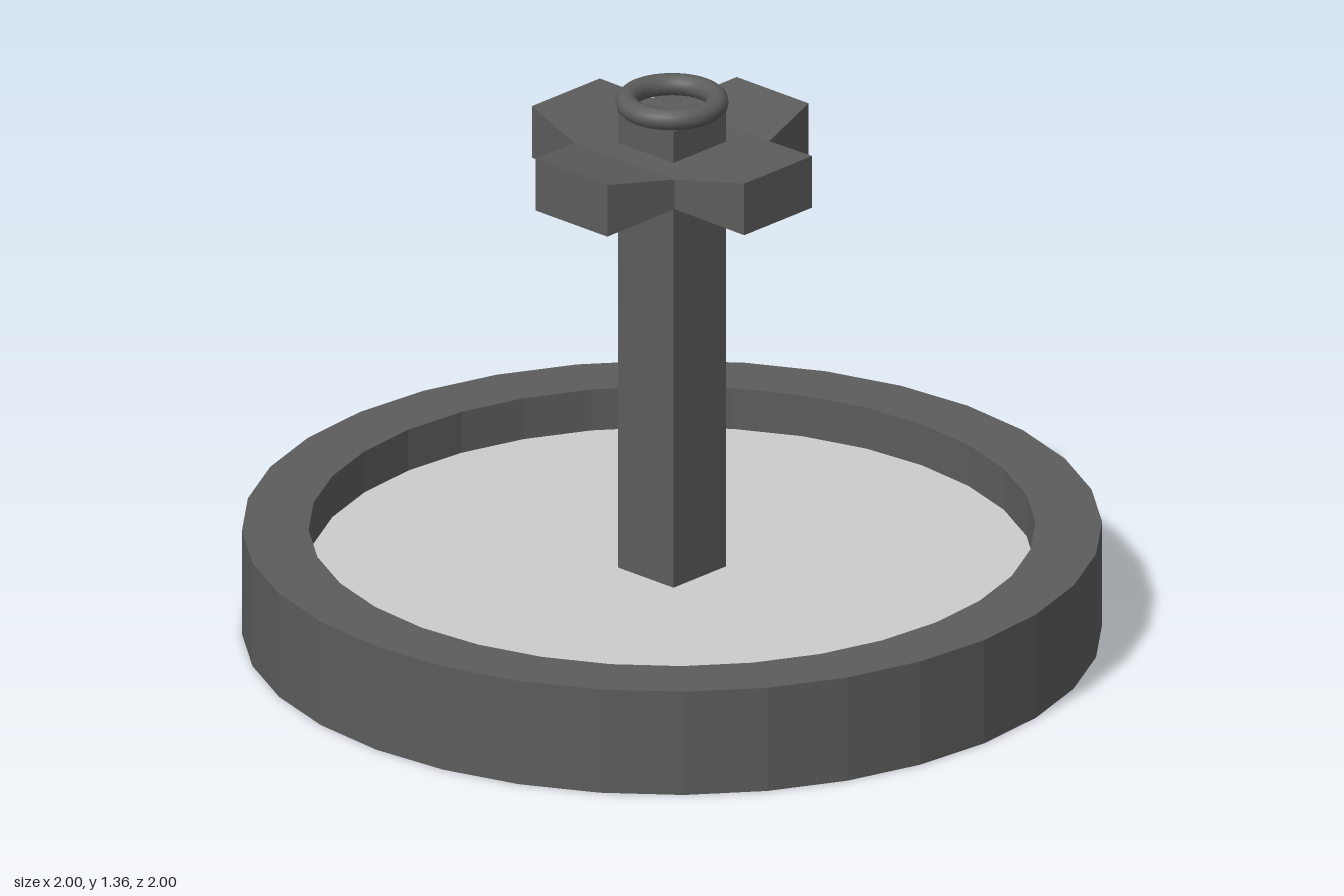
import * as THREE from 'three';

const stone = new THREE.MeshStandardMaterial({ color: 0x5c5c5c, flatShading: true });
const smoothStone = new THREE.MeshStandardMaterial({ color: 0x5c5c5c });
const water = new THREE.MeshStandardMaterial({ color: 0xcccccc });

const SIDES = 32;
const INNER = 0.845;
const WATER_Y = 0.157;

function part(parent, name, geometry, material, y = 0) {
  const mesh = new THREE.Mesh(geometry, material);
  mesh.name = name;
  mesh.position.y = y;
  parent.add(mesh);
  return mesh;
}

// Spout arm along +z: narrow in height and wide at the hub, taller and narrower at the tip
function armGeometry(hub, tip) {
  const geometry = new THREE.BoxGeometry(2, 2, 2);
  const p = geometry.attributes.position;
  for (let i = 0; i < p.count; i++) {
    const end = p.getZ(i) > 0 ? tip : hub;
    p.setXYZ(i, p.getX(i) * end.w, p.getY(i) * end.h, end.z);
  }
  geometry.computeVertexNormals();
  return geometry;
}

export function createModel() {
  const model = new THREE.Group();
  model.name = 'fountain';

  // Round basin: solid underside, outer wall, flat rim, inner wall
  const profile = [[0, 0], [1, 0], [1, 0.26], [INNER, 0.26], [INNER, WATER_Y]]
    .map(([x, y]) => new THREE.Vector2(x, y));
  part(model, 'basin', new THREE.LatheGeometry(profile, SIDES), stone);

  // Water surface inside the rim
  const surface = new THREE.CircleGeometry(INNER, SIDES).rotateX(-Math.PI / 2);
  part(model, 'water', surface, water, WATER_Y);

  // Square column rising out of the water
  const bottom = 0.15, top = 1.305;
  part(model, 'column', new THREE.BoxGeometry(0.177, top - bottom, 0.177), stone, (top + bottom) / 2);

  // Cross-shaped spout head
  const head = new THREE.Group();
  head.name = 'spoutHead';
  head.position.y = 1.19;
  model.add(head);
  const hub = { w: 0.16, h: 0.037, z: 0.16 };
  const tip = { w: 0.115, h: 0.065, z: 0.34 };
  part(head, 'spoutHub', new THREE.BoxGeometry(2 * hub.w, 2 * hub.h, 2 * hub.z), stone);
  const arm = armGeometry(hub, tip);
  for (let i = 0; i < 4; i++) {
    part(head, 'spoutArm', arm, stone).rotation.y = i * Math.PI / 2;
  }

  // Ring crowning the column
  const ring = new THREE.TorusGeometry(0.106, 0.026, 12, 40).rotateX(Math.PI / 2);
  part(model, 'topRing', ring, smoothStone, 1.329);

  return model;
}
